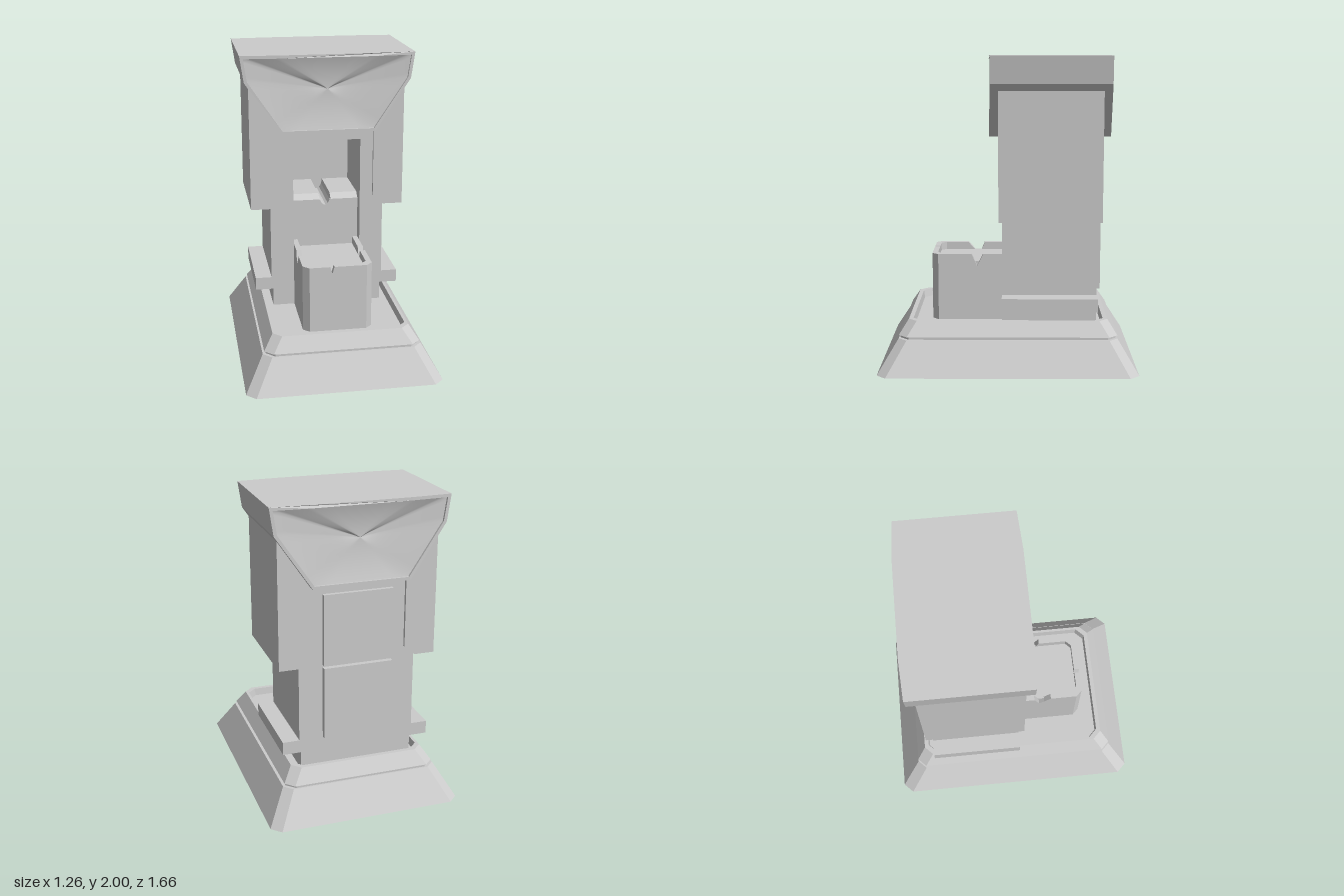
import * as THREE from 'three';

const grey = new THREE.MeshStandardMaterial({ color: 0xcccccc, flatShading: true });
const smooth = new THREE.MeshStandardMaterial({ color: 0xcccccc, side: THREE.DoubleSide });

function add(parent, name, geo, mat = grey) {
  const mesh = new THREE.Mesh(geo, mat);
  mesh.name = name;
  parent.add(mesh);
  return mesh;
}

// Box from its minimum and maximum corners
function box(parent, name, x0, x1, y0, y1, z0, z1) {
  const mesh = add(parent, name, new THREE.BoxGeometry(x1 - x0, y1 - y0, z1 - z0));
  mesh.position.set((x0 + x1) / 2, (y0 + y1) / 2, (z0 + z1) / 2);
  return mesh;
}

const toShape = (pts) => new THREE.Shape(pts.map(([x, y]) => new THREE.Vector2(x, y)));

// Front outline extruded between two depths
function slab(shape, z0, z1) {
  const geo = new THREE.ExtrudeGeometry(shape, { depth: z1 - z0, bevelEnabled: false });
  return geo.translate(0, 0, z0);
}

// Right half of an outline completed by its mirror image
const mirrored = (half) => [...half, ...half.map(([x, y]) => [-x, y]).reverse()];

// Stack of chamfered rectangles: [half width, half depth, height, chamfer]
function loft(rings) {
  const pos = [];
  const idx = [];
  for (const [w, d, y, c] of rings) {
    const quarter = [[w, d - c], [w - c, d], [c - w, d], [-w, d - c]];
    for (const [x, z] of quarter) pos.push(x, y, z);
    for (const [x, z] of quarter) pos.push(-x, y, -z);
  }
  for (let r = 0; r < rings.length - 1; r++) {
    for (let i = 0; i < 8; i++) {
      const a = r * 8 + i, b = r * 8 + (i + 1) % 8;
      idx.push(a, a + 8, b, b, a + 8, b + 8);
    }
  }
  const top = (rings.length - 1) * 8;
  for (let i = 1; i < 7; i++) {
    idx.push(0, i, i + 1);
    idx.push(top, top + i + 1, top + i);
  }
  const geo = new THREE.BufferGeometry();
  geo.setAttribute('position', new THREE.Float32BufferAttribute(pos, 3));
  geo.setIndex(idx);
  const flat = geo.toNonIndexed();
  flat.computeVertexNormals();
  return flat;
}

// Head faces bow outward slightly towards the middle
const HEAD = 0.3875;
const bow = (x) => HEAD - 0.014 * Math.max(0, (Math.abs(x) - 0.31) / 0.255);

// Dished screen made of shrinking copies of the opening outline
function dish(outline) {
  const rings = 12, n = outline.length * 6, cy = 1.77;
  const pos = [];
  const idx = [];
  for (let r = 0; r <= rings; r++) {
    const t = 1 - r / rings;
    for (let i = 0; i < n; i++) {
      const k = Math.floor(i / 6), f = (i % 6) / 6;
      const a = outline[k], b = outline[(k + 1) % outline.length];
      const x = a[0] + (b[0] - a[0]) * f, y = a[1] + (b[1] - a[1]) * f;
      pos.push(x * t, cy + (y - cy) * t, bow(x) - 0.015 - 0.035 * (1 - t * t));
      if (r < rings) {
        const p = r * n + i, q = r * n + (i + 1) % n;
        idx.push(p, q, p + n, q, q + n, p + n);
      }
    }
  }
  // Level the centre so the rings meet in one point
  for (let i = 0; i < n; i++) pos[(rings * n + i) * 3 + 2] = HEAD - 0.05;
  const geo = new THREE.BufferGeometry();
  geo.setAttribute('position', new THREE.Float32BufferAttribute(pos, 3));
  geo.setIndex(idx);
  geo.computeVertexNormals();
  return geo;
}

export function createModel() {
  const model = new THREE.Group();
  model.name = 'kiosk';

  // Sloped plinth with a groove and a shallow tray
  add(model, 'base', loft([
    [0.63, 0.83, 0, 0.06], [0.51, 0.7, 0.21, 0.055], [0.49, 0.69, 0.21, 0.055],
    [0.49, 0.69, 0.228, 0.055], [0.5, 0.7, 0.228, 0.055], [0.44, 0.64, 0.32, 0.055],
    [0.422, 0.612, 0.32, 0.055], [0.415, 0.605, 0.27, 0.055],
  ]));

  const tower = new THREE.Group();
  tower.name = 'tower';
  tower.position.set(-0.003, 0, -0.265);
  model.add(tower);

  // Column with side rails; its front part is open around the alcove
  const side = [[0.37, 0.26], [0.37, 0.39], [0.488, 0.39], [0.488, 0.475], [0.38, 0.475], [0.38, 1.65]];
  const alcove = [[-0.225, 0.26], [-0.225, 1.42], [0.225, 1.42], [0.225, 0.26]];
  add(tower, 'columnFront', slab(toShape([...mirrored(side), ...alcove]), -0.155, 0.305));
  add(tower, 'columnBack', slab(toShape(mirrored(side)), -0.305, -0.155));

  // Grooved block inside the alcove, with a sloped front lip
  const step = toShape(mirrored([
    [0.225, 0.26], [0.225, 1.02], [0.04, 1.02], [0.034, 0.985], [0.02, 0.96], [0.005, 0.95],
  ]).filter(([x, y]) => true));
  add(tower, 'alcoveBlock', slab(step, -0.155, 0.18));
  const lip = slab(step, 0.18, 0.225);
  const lp = lip.attributes.position;
  for (let i = 0; i < lp.count; i++) {
    if (lp.getZ(i) > 0.2 && lp.getY(i) > 1) lp.setY(i, 0.988);
  }
  lip.computeVertexNormals();
  add(tower, 'alcoveLip', lip);

  // Side housings, chamfered at the lower inner edge
  for (const s of [-1, 1]) {
    const pts = [[0.31, 1.03], [0.38, 0.97], [0.51, 0.97], [0.51, 1.81], [0.31, 1.81]];
    add(tower, 'sideHousing', slab(toShape(pts.map(([x, y]) => [s * x, y])), -0.325, 0.325));
  }

  // Back panels
  box(tower, 'lowerBackPanel', -0.225, 0.225, 0.48, 0.955, -0.338, -0.3);
  box(tower, 'upperBackPanel', -0.225, 0.225, 0.97, 1.43, -0.331, -0.3);

  // Head frame running front to back
  const frame = toShape(mirrored([[0.31, 1.49], [0.54, 1.83], [0.565, 2], [0.31, 2]]));
  const opening = mirrored([[0.3, 1.51], [0.52, 1.835], [0.542, 1.98], [0.31, 1.98]]);
  frame.holes.push(new THREE.Path(opening.map(([x, y]) => new THREE.Vector2(x, y))));
  const frameGeo = slab(frame, -HEAD, HEAD);
  const fp = frameGeo.attributes.position;
  for (let i = 0; i < fp.count; i++) fp.setZ(i, Math.sign(fp.getZ(i)) * bow(fp.getX(i)));
  frameGeo.computeVertexNormals();
  add(tower, 'headFrame', frameGeo);

  // Dished screens on both ends
  add(tower, 'frontScreen', dish(opening), smooth);
  add(tower, 'backScreen', dish(opening), smooth).rotation.y = Math.PI;

  // Container in front: solid core and notched rim walls
  const bin = new THREE.Group();
  bin.name = 'container';
  bin.position.x = -0.003;
  model.add(bin);
  box(bin, 'containerFloor', -0.2, 0.2, 0.26, 0.66, -0.05, 0.47);
  for (const s of [-1, 1]) {
    // Side wall drawn along z, then turned upright
    const notch = s > 0 ? [[0.24, 0.71], [0.205, 0.63], [0.165, 0.71]]
      : [[0.28, 0.71], [0.235, 0.66], [0.2, 0.63], [0.165, 0.71]];
    const wall = toShape([[-0.05, 0.26], [0.46, 0.26], [0.46, 0.71], ...notch, [-0.05, 0.71]]);
    const geo = slab(wall, -0.0175, 0.0175).rotateY(-Math.PI / 2);
    add(bin, 'containerSide', geo).position.x = s * 0.2075;

    // Chamfered corner post
    const post = toShape([[0.225, -0.46], [0.185, -0.5], [0.155, -0.465], [0.19, -0.43]]
      .map(([x, z]) => [s * x, z]));
    add(bin, 'containerCorner', slab(post, 0.26, 0.71).rotateX(-Math.PI / 2));
  }
  const front = toShape([[-0.185, 0.26], [0.185, 0.26], [0.185, 0.71],
    [-0.025, 0.71], [-0.038, 0.665], [-0.052, 0.71], [-0.185, 0.71]]);
  add(bin, 'containerFront', slab(front, 0.465, 0.5));

  return model;
}
